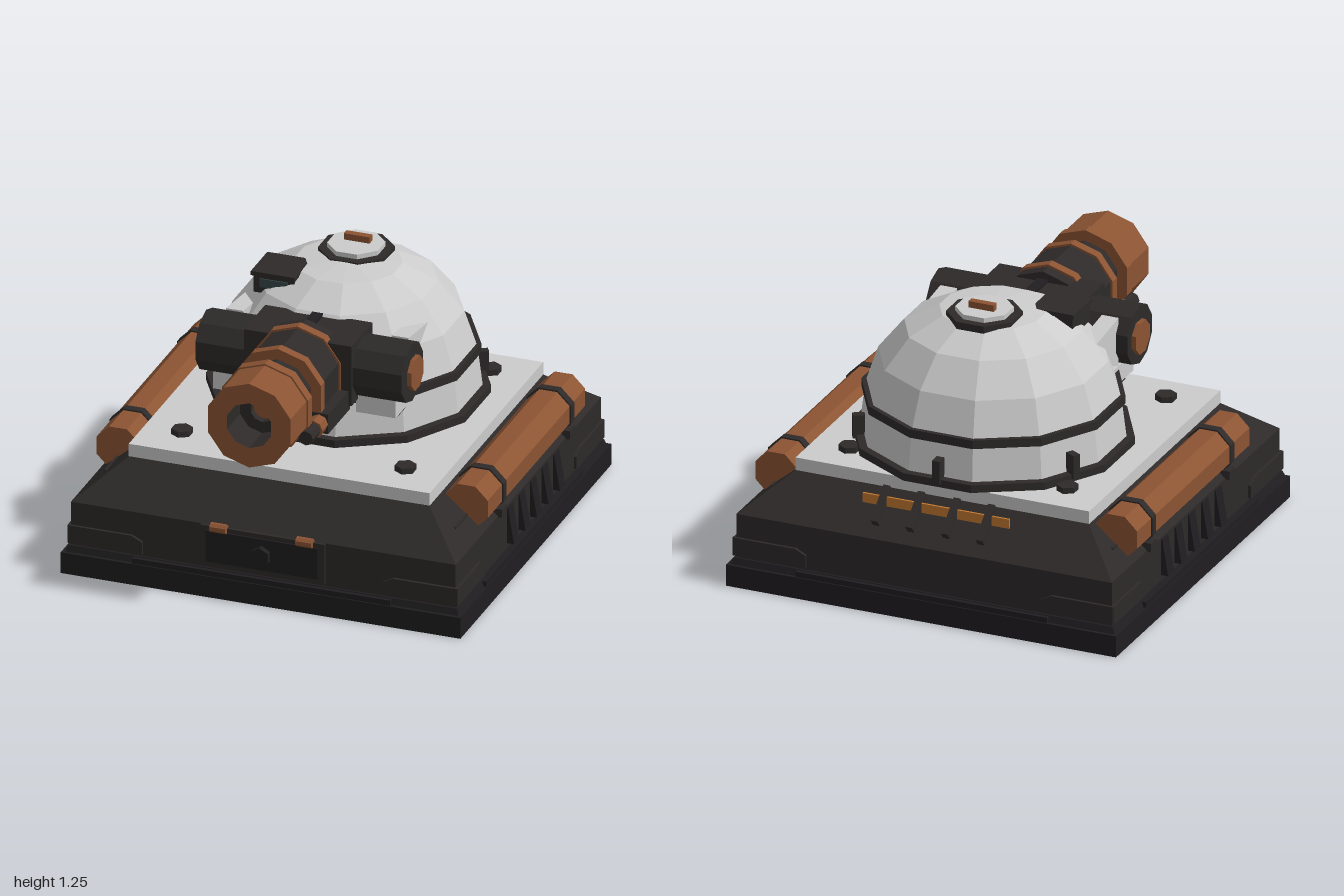
import * as THREE from 'three';

const mat = (color) => new THREE.MeshStandardMaterial({ color, flatShading: true });
const LIGHT = mat(0xcccccc), DARK = mat(0x2d2a29), BLACK = mat(0x201e20);
const RUST = mat(0x8c5433), ORANGE = mat(0xc67a30), GLASS = mat(0x36474a);
const BASE_Z = -0.07, DOME_Z = -0.225, GUN_Y = 0.935;

export function createModel() {
  const root = new THREE.Group();
  root.name = 'gunTurret';

  const add = (name, geometry, material, x, y, z) => {
    const mesh = new THREE.Mesh(geometry, material);
    mesh.name = name;
    mesh.position.set(x, y, z);
    root.add(mesh);
    return mesh;
  };
  // Box given by its extents
  const box = (name, m, x0, x1, y0, y1, z0, z1) =>
    add(name, new THREE.BoxGeometry(x1 - x0, y1 - y0, z1 - z0), m,
      (x0 + x1) / 2, (y0 + y1) / 2, (z0 + z1) / 2);
  // Square tapered block with half widths at bottom and top
  const block = (name, m, h0, h1, y0, y1) =>
    add(name, new THREE.CylinderGeometry(h1 * Math.SQRT2, h0 * Math.SQRT2, y1 - y0, 4, 1).rotateY(Math.PI / 4),
      m, 0, (y0 + y1) / 2, BASE_Z);
  // Upright prism whose flat sides lie at distance r
  const prism = (name, m, r, sides, y0, y1, x, z) =>
    add(name, new THREE.CylinderGeometry(r / Math.cos(Math.PI / sides), r / Math.cos(Math.PI / sides),
      y1 - y0, sides, 1, false, Math.PI / sides), m, x, (y0 + y1) / 2, z);
  // Prisms along z and along x
  const rodZ = (name, m, r, sides, x, y, z0, z1, turn = 0) =>
    add(name, new THREE.CylinderGeometry(r, r, z1 - z0, sides, 1, false, turn).rotateX(Math.PI / 2),
      m, x, y, (z0 + z1) / 2);
  const rodX = (name, m, r, sides, x0, x1, y, z) =>
    add(name, new THREE.CylinderGeometry(r, r, x1 - x0, sides, 1, false, Math.PI / sides).rotateZ(Math.PI / 2),
      m, (x0 + x1) / 2, y, z);

  // Stepped base and sloping hull
  block('baseSlab', BLACK, 0.93, 0.93, 0, 0.1);
  block('baseStep', BLACK, 0.915, 0.905, 0.1, 0.13);
  block('hullWall', DARK, 0.895, 0.895, 0.13, 0.335);
  block('hullSlope', DARK, 0.895, 0.7, 0.335, 0.5);
  block('deckPlate', LIGHT, 0.7, 0.7, 0.5, 0.56);

  // Skirt strips and corner plates on all four sides
  for (let i = 0; i < 4; i++) {
    const side = new THREE.Group();
    side.name = 'skirtSide';
    side.position.z = BASE_Z;
    side.rotation.y = i * Math.PI / 2;
    const strip = new THREE.Mesh(new THREE.BoxGeometry(1.2, 0.025, 0.03), BLACK);
    strip.name = 'skirtStrip';
    strip.position.set(0, 0.113, 0.91);
    side.add(strip);
    for (const s of [-1, 1]) {
      const outline = new THREE.Shape([[0.56, 0.14], [0.905, 0.14], [0.905, 0.225], [0.61, 0.225], [0.56, 0.2]]
        .map(([x, y]) => new THREE.Vector2(s * x, y)));
      const plate = new THREE.Mesh(new THREE.ExtrudeGeometry(outline, { depth: 0.025, bevelEnabled: false }), DARK);
      plate.name = 'cornerPlate';
      plate.position.z = 0.883;
      side.add(plate);
    }
    root.add(side);
  }

  // Front access door with hinges and bolt
  box('frontDoor', DARK, -0.29, 0.29, 0.14, 0.335, 0.8, 0.84);
  box('frontDoorPanel', BLACK, -0.26, 0.26, 0.165, 0.315, 0.83, 0.848);
  rodZ('doorBolt', BLACK, 0.045, 6, 0, 0.24, 0.83, 0.875);
  for (const s of [-1, 1]) rodX('doorHinge', RUST, 0.022, 8, s * 0.2 - 0.037, s * 0.2 + 0.037, 0.335, 0.845);

  // Rear grille on the back slope
  box('rearGrille', ORANGE, -0.35, 0.35, 0.4, 0.485, -0.84, -0.83);
  for (const x of [-0.25, -0.085, 0.085, 0.25]) {
    box('grilleBar', DARK, x - 0.016, x + 0.016, 0.415, 0.475, -0.945, -0.765).rotation.x = -0.7;
  }

  for (const s of [-1, 1]) {
    // Side louvres, thicker toward the bottom
    for (let i = 0; i < 5; i++) {
      const wedge = new THREE.Shape([[0.88, 0.155], [0.928, 0.155], [0.9, 0.325], [0.88, 0.325]]
        .map(([x, y]) => new THREE.Vector2(s * x, y)));
      add('sideLouvre', new THREE.ExtrudeGeometry(wedge, { depth: 0.065, bevelEnabled: false }),
        BLACK, 0, 0, 0.13 - i * 0.142);
    }
    // Fuel tank, its straps and rail
    const r = 0.1 / Math.cos(Math.PI / 8);
    rodZ('sideTank', RUST, r, 8, s * 0.81, 0.445, -0.73, 0.47, Math.PI / 8);
    box('tankRail', DARK, s * 0.81 - 0.008, s * 0.81 + 0.008, 0.36, 0.41, -0.78, 0.62);
    for (const z of [0.275, -0.56]) {
      rodZ('tankStrap', DARK, r + 0.007, 8, s * 0.81, 0.445, z - 0.02, z + 0.02, Math.PI / 8);
      box('tankClip', DARK, s * 0.89 - 0.025, s * 0.89 + 0.025, 0.33, 0.37, z - 0.03, z + 0.03);
    }
    // Deck bolts
    for (const z of [-0.6, 0.45]) {
      add('deckBolt', new THREE.CylinderGeometry(0.048, 0.048, 0.03, 6), DARK, s * 0.52, 0.572, z);
    }
  }

  // Turntable, twelve-sided dome and its bands
  prism('turntable', RUST, 0.55, 12, 0.56, 0.575, 0, DOME_Z);
  const k = 1 / Math.cos(Math.PI / 12);
  const profile = [[0.57, 0.58], [0.545, 0.79], [0.49, 0.96], [0.38, 1.1], [0.23, 1.18], [0, 1.205]];
  add('dome', new THREE.LatheGeometry(profile.map(([r, y]) => new THREE.Vector2(r * k, y)), 12, Math.PI / 12),
    LIGHT, 0, 0, DOME_Z);
  prism('domeBaseRing', DARK, 0.602, 12, 0.572, 0.608, 0, DOME_Z);
  prism('domeBand', DARK, 0.562, 12, 0.763, 0.803, 0, DOME_Z);
  for (const a of [-1, 0, 1]) {
    const angle = Math.PI + a * Math.PI / 3;
    box('domeLug', DARK, -0.018, 0.018, 0.59, 0.7, -0.027, 0.027).rotation.y = angle;
    root.children.at(-1).position.set(Math.sin(angle) * 0.59, 0.645, DOME_Z + Math.cos(angle) * 0.59);
  }

  // Roof hatch
  prism('hatchRing', DARK, 0.155, 8, 1.165, 1.203, 0, -0.32);
  prism('hatchLid', LIGHT, 0.118, 8, 1.2, 1.225, 0, -0.32);
  box('hatchHandle', RUST, -0.06, 0.06, 1.22, 1.255, -0.358, -0.325);

  // Sight box
  box('sightBox', DARK, -0.35, -0.16, 1.08, 1.175, -0.165, 0.02);
  box('sightHood', DARK, -0.357, -0.153, 1.165, 1.185, -0.17, 0.035);
  box('sightGlass', GLASS, -0.32, -0.19, 1.11, 1.15, 0.015, 0.026);

  // Trunnion, cheeks and brackets
  rodX('trunnion', DARK, 0.138, 10, -0.48, 0.48, 0.94, 0.26);
  rodX('trunnionCap', RUST, 0.08, 8, -0.5, 0.5, 0.935, 0.25);
  for (const s of [-1, 1]) {
    const cheek = new THREE.Shape([[-0.16, 1.05], [-0.16, 0.82], [-0.06, 0.86], [0.08, 1.02]]
      .map(([z, y]) => new THREE.Vector2(z, y)));
    add('cheek', new THREE.ExtrudeGeometry(cheek, { depth: 0.08, bevelEnabled: false }).rotateY(Math.PI / 2),
      LIGHT, s * 0.385 - 0.04, 0, 0);
    box('trunnionBracket', LIGHT, s * 0.333 - 0.092, s * 0.333 + 0.092, 0.735, 0.82, 0.1, 0.32);
    box('bracketFoot', DARK, s * 0.333 - 0.08, s * 0.333 + 0.08, 0.715, 0.755, 0.12, 0.26);
  }

  // Mantlet and cradle
  box('mantlet', DARK, -0.25, 0.25, 0.8, 1.087, 0.14, 0.4);
  box('mantletRib', BLACK, -0.025, 0.025, 1.08, 1.1, 0.15, 0.39);
  box('cradle', DARK, -0.235, 0.235, 0.775, 0.87, 0.38, 0.65);
  for (const s of [-1, 1]) {
    rodZ('recoilRod', DARK, 0.034, 8, s * 0.195, 0.825, 0.38, 0.82);
    rodZ('recoilCollar', RUST, 0.042, 8, s * 0.195, 0.825, 0.655, 0.725);
  }

  // Barrel with rust bands and hollow muzzle
  rodZ('barrelSleeve', DARK, 0.2, 10, 0, GUN_Y, 0.3, 0.62);
  rodZ('barrelNeck', DARK, 0.16, 10, 0, GUN_Y, 0.6, 0.78);
  for (const [z0, z1] of [[0.36, 0.405], [0.6, 0.645], [0.755, 0.805]]) {
    rodZ('barrelBand', RUST, 0.21, 10, 0, GUN_Y, z0, z1);
  }
  const lathe = (points) =>
    new THREE.LatheGeometry(points.map(([r, z]) => new THREE.Vector2(r, z)), 10).rotateX(Math.PI / 2);
  add('muzzle', lathe([[0.2025, 0.8], [0.2025, 1], [0.108, 1]]), RUST, 0, GUN_Y, 0);
  add('bore', lathe([[0.108, 1], [0.108, 0.84], [0.055, 0.84], [0.055, 0.8], [0, 0.8]]), DARK, 0, GUN_Y, 0);

  return root;
}
